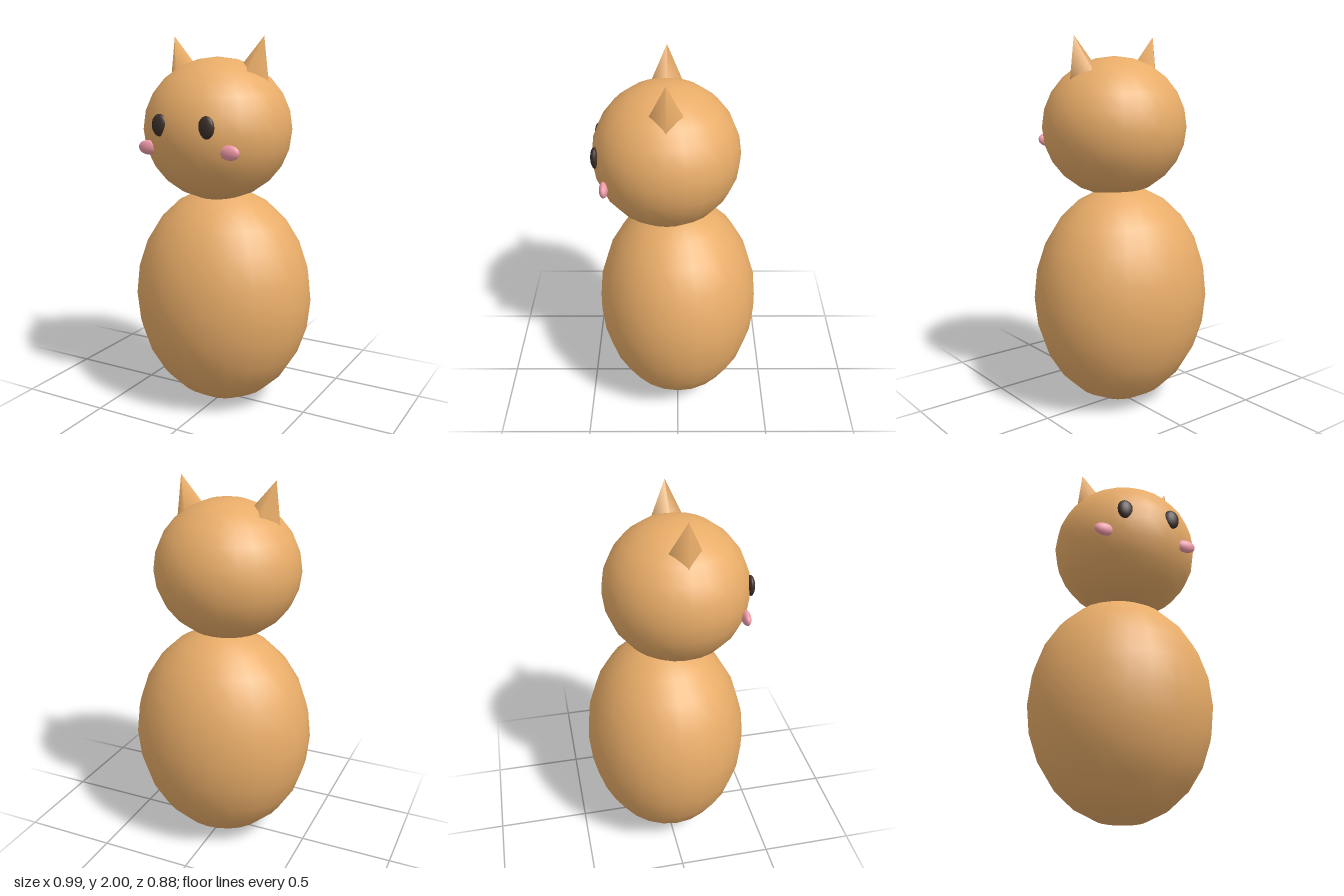
import * as THREE from 'three';

const fur = new THREE.MeshStandardMaterial({ color: 0xe8ac68 });
const dark = new THREE.MeshStandardMaterial({ color: 0x3b2e28 });
const pink = new THREE.MeshStandardMaterial({ color: 0xf09aa8 });

// Stretched sphere given by centre and radii
function ellipsoid(name, material, centre, radii, segments = 24, rings = 12) {
  const geometry = new THREE.SphereGeometry(1, segments, rings);
  geometry.scale(...radii);
  const mesh = new THREE.Mesh(geometry, material);
  mesh.name = name;
  mesh.position.set(...centre);
  return mesh;
}

export function createModel() {
  const model = new THREE.Group();
  model.name = 'catFigure';

  // Egg-shaped body and rounded head, set slightly forward
  model.add(ellipsoid('body', fur, [0, 0.607, 0], [0.495, 0.605, 0.44]));
  model.add(ellipsoid('head', fur, [0, 1.527, 0.057], [0.395, 0.372, 0.379]));

  // Paired features, mirrored across x
  for (const [prefix, s] of [['left', 1], ['right', -1]]) {
    // Four-sided ear, tilted outward; origin at the centre of its base
    const height = 0.206;
    const geometry = new THREE.ConeGeometry(0.092, height, 4);
    geometry.translate(0, height / 2, 0);
    const ear = new THREE.Mesh(geometry, fur);
    ear.name = prefix + 'Ear';
    ear.position.set(s * 0.202, 1.804, 0.054);
    ear.rotation.z = -s * 0.3;
    model.add(ear);

    // Eyes and cheeks sit flat on the face
    model.add(ellipsoid(prefix + 'Eye', dark, [s * 0.133, 1.57, 0.408], [0.044, 0.056, 0.021], 16, 12));
    model.add(ellipsoid(prefix + 'Cheek', pink, [s * 0.235, 1.45, 0.363], [0.055, 0.037, 0.022], 16, 12));
  }

  return model;
}
